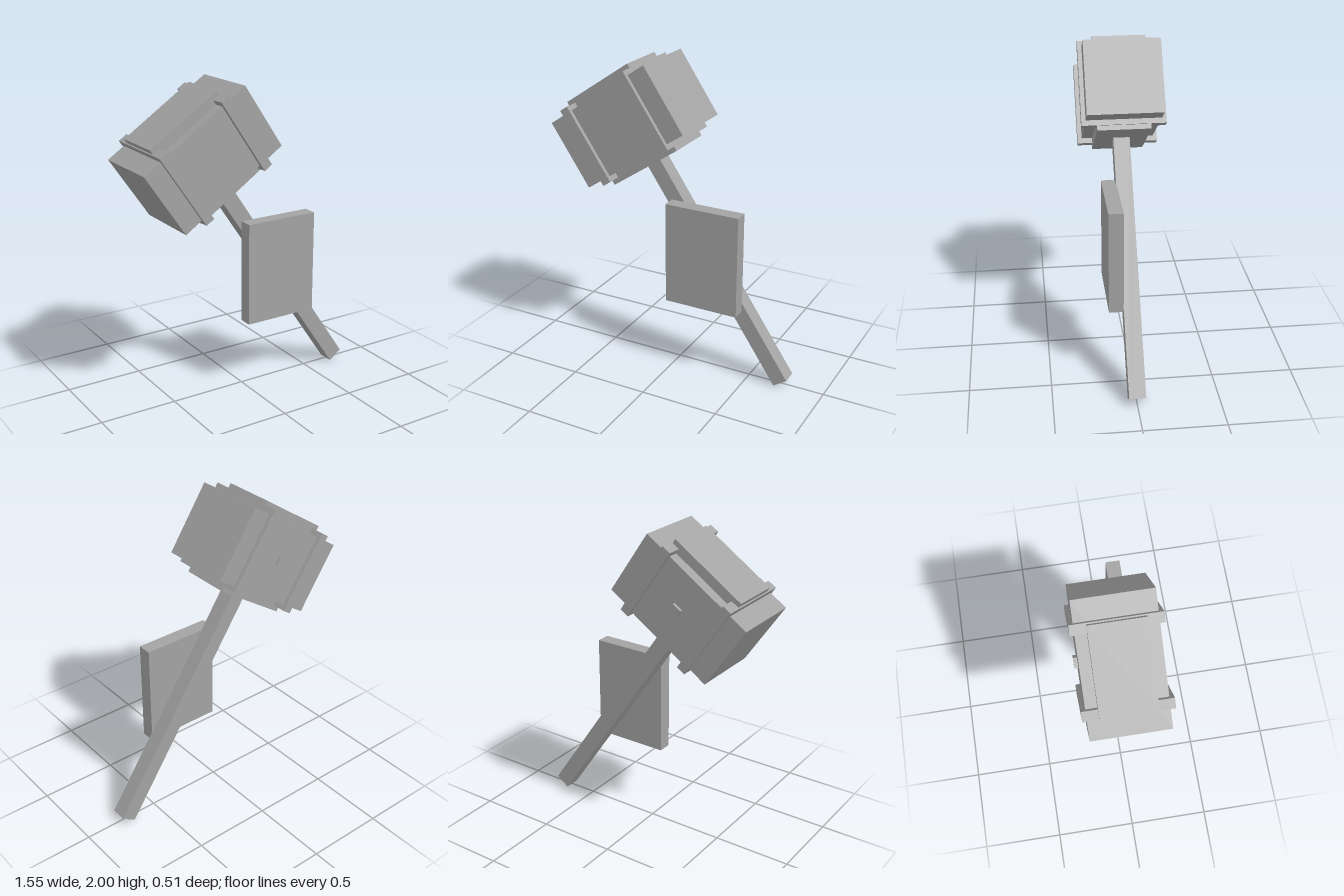
import * as THREE from 'three';

export function createModel() {
  const model = new THREE.Group();
  model.name = 'malletWithPlate';

  const grey = new THREE.MeshStandardMaterial({ color: 0xa3a3a3 });
  grey.name = 'plain grey';

  // Adds a named box of the given size at the given centre
  function box(parent, name, size, position) {
    const mesh = new THREE.Mesh(new THREE.BoxGeometry(...size), grey);
    mesh.name = name;
    mesh.position.set(...position);
    parent.add(mesh);
  }

  // Tilted mallet, with its origin at the centre of the head
  const mallet = new THREE.Group();
  mallet.name = 'mallet';
  mallet.position.set(-0.32, 1.59, 0);
  mallet.rotation.z = THREE.MathUtils.degToRad(33.95);
  model.add(mallet);

  // Head block and the taller, narrower block through its middle
  box(mallet, 'headBlock', [0.79, 0.458, 0.46], [0, 0, 0]);
  box(mallet, 'headCore', [0.523, 0.584, 0.326], [0, 0, 0]);

  // Bands around both ends of the head
  for (const side of [-1, 1]) {
    box(mallet, side < 0 ? 'rightBand' : 'leftBand', [0.06, 0.524, 0.512], [side * 0.24, 0, 0]);
  }

  // Small peg on the back of the head
  box(mallet, 'backPeg', [0.06, 0.06, 0.05], [0, 0, -0.227]);

  // Handle, running from inside the head to the ground
  box(mallet, 'handle', [0.102, 1.68, 0.102], [0, -1.038, 0]);

  // Upright plate in front of the handle
  box(model, 'frontPlate', [0.487, 0.658, 0.09], [0.212, 0.8, 0.093]);

  return model;
}
